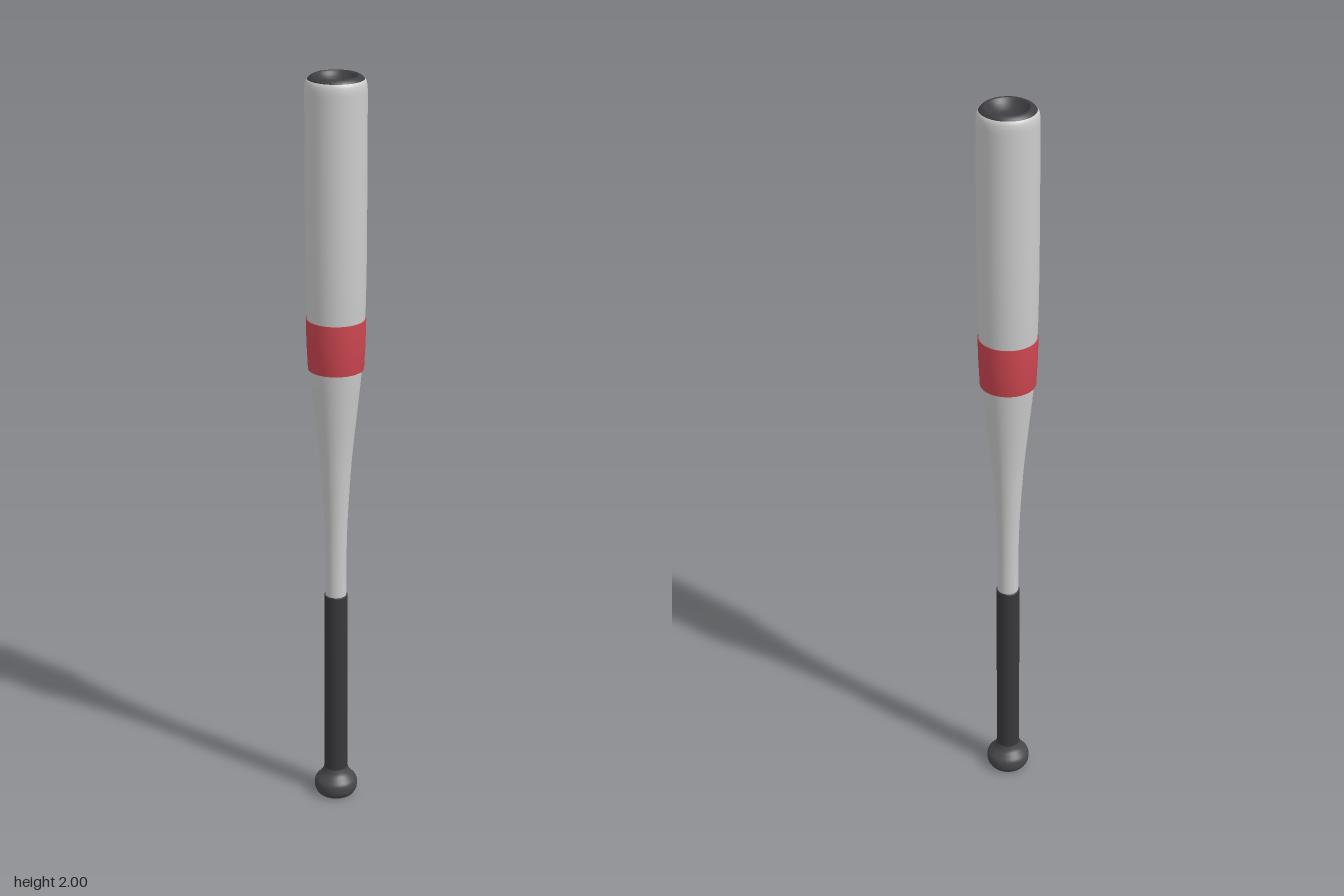
import * as THREE from 'three';

const SIDES = 48;

// Revolves a profile of [radius, height] points, bottom to top.
function turned(name, points, color) {
  const profile = points.map(([r, y]) => new THREE.Vector2(r, y));
  const material = new THREE.MeshStandardMaterial({ color, side: THREE.DoubleSide });
  const mesh = new THREE.Mesh(new THREE.LatheGeometry(profile, SIDES), material);
  mesh.name = name;
  return mesh;
}

// Smooths a coarse profile into a flowing curve.
function smooth(points, count) {
  const curve = new THREE.SplineCurve(points.map(([r, y]) => new THREE.Vector2(r, y)));
  return curve.getPoints(count).map((p) => [p.x, p.y]);
}

export function createModel() {
  const bat = new THREE.Group();
  bat.name = 'bat';

  // Tapered handle and barrel with a rounded shoulder
  const taper = smooth([[0.028, 0.58], [0.028, 0.7], [0.031, 0.82], [0.041, 0.98],
    [0.054, 1.11], [0.067, 1.24], [0.074, 1.36], [0.077, 1.48], [0.078, 1.6]], 40);
  const shoulder = [[0.078, 1.96], [0.0775, 1.972], [0.076, 1.982], [0.0735, 1.988], [0.071, 1.991]];
  bat.add(turned('barrel', [...taper, ...shoulder], 0xcccccc));

  // Coloured band standing slightly proud of the barrel
  bat.add(turned('band', [[0.066, 1.24], [0.072, 1.24], [0.0755, 1.31], [0.077, 1.375], [0.073, 1.375]], 0xcc4650));

  // End cap: rounded lip around a shallow cup
  bat.add(turned('endCap', smooth([[0.072, 1.988], [0.068, 1.994], [0.061, 1.999], [0.055, 2],
    [0.051, 1.997], [0.042, 1.987], [0.024, 1.976], [0, 1.972]], 28), 0x3e3e42));

  // Grip sleeve with a flat upper edge
  bat.add(turned('grip', [[0.031, 0.06], [0.031, 0.597], [0.0305, 0.6], [0.027, 0.6]], 0x38383c));

  // Flared knob with a slightly dished underside
  bat.add(turned('knob', smooth([[0, 0.01], [0.025, 0.008], [0.042, 0.001], [0.048, 0.002], [0.056, 0.014],
    [0.058, 0.028], [0.056, 0.042], [0.046, 0.055], [0.037, 0.066], [0.032, 0.08]], 36), 0x48484c));

  return bat;
}
